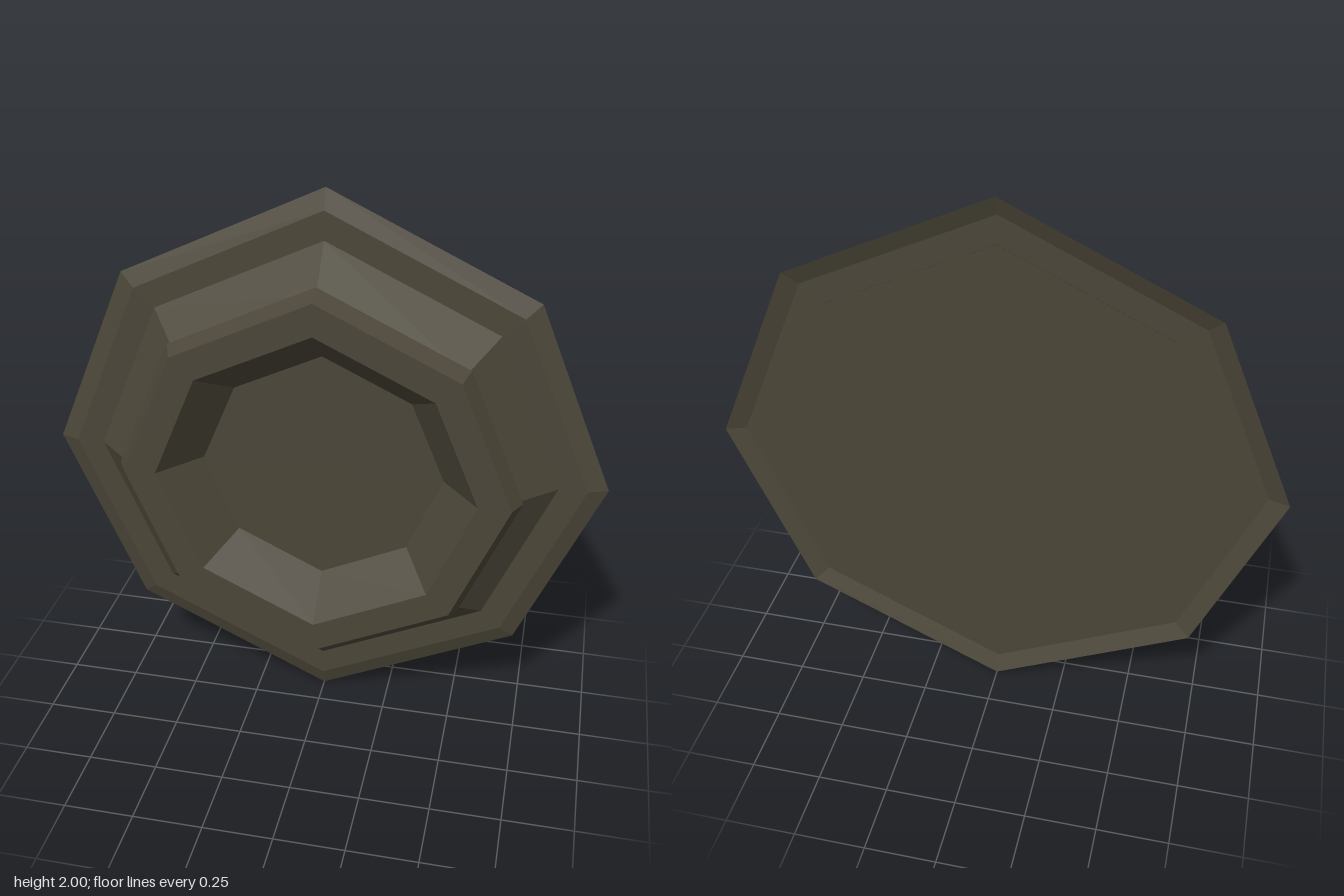
import * as THREE from 'three';

// Eight-sided ring surface around z from [radius, z] profile points
function octagonal(name, profile, material) {
  const lathe = new THREE.LatheGeometry(profile.map(([r, z]) => new THREE.Vector2(r, z)), 8);
  lathe.rotateX(Math.PI / 2);
  const p = lathe.attributes.position;
  // Slightly uneven octagon: the diagonal corners sit a little wide and low
  for (let i = 0; i < p.count; i++) {
    const x = p.getX(i), y = p.getY(i);
    const diagonal = Math.abs(x) > 1e-4 && Math.abs(y) > 1e-4;
    p.setXY(i, x * (diagonal ? 1.012 : 0.995), y * (diagonal ? 0.934 : 1));
  }
  const geometry = lathe.toNonIndexed();
  geometry.computeVertexNormals();
  const mesh = new THREE.Mesh(geometry, material);
  mesh.name = name;
  return mesh;
}

export function createModel() {
  const group = new THREE.Group();
  group.name = 'octagonalDish';
  const darkOlive = new THREE.MeshStandardMaterial({ color: 0x4b4638, side: THREE.DoubleSide });
  darkOlive.name = 'dark olive metal';

  group.add(
    // Thin flared rim with a flat inner band
    octagonal('rim', [[1, -0.105], [0.93, -0.08], [0.83, -0.08]], darkOlive),
    // Sloping side wall
    octagonal('sideWall', [[0.83, -0.08], [0.69, 0.045]], darkOlive),
    // Raised collar with a small overhang
    octagonal('collar', [[0.69, 0.045], [0.718, 0.045], [0.685, 0.105], [0.57, 0.105]], darkOlive),
    // Recessed bowl and its floor
    octagonal('bowl', [[0.57, 0.105], [0.435, -0.05], [0, -0.05]], darkOlive),
    // Back plate
    octagonal('backPlate', [[0, -0.081], [0.83, -0.081]], darkOlive)
  );
  group.position.y = 1;
  const model = new THREE.Group();
  model.add(group);
  return model;
}
